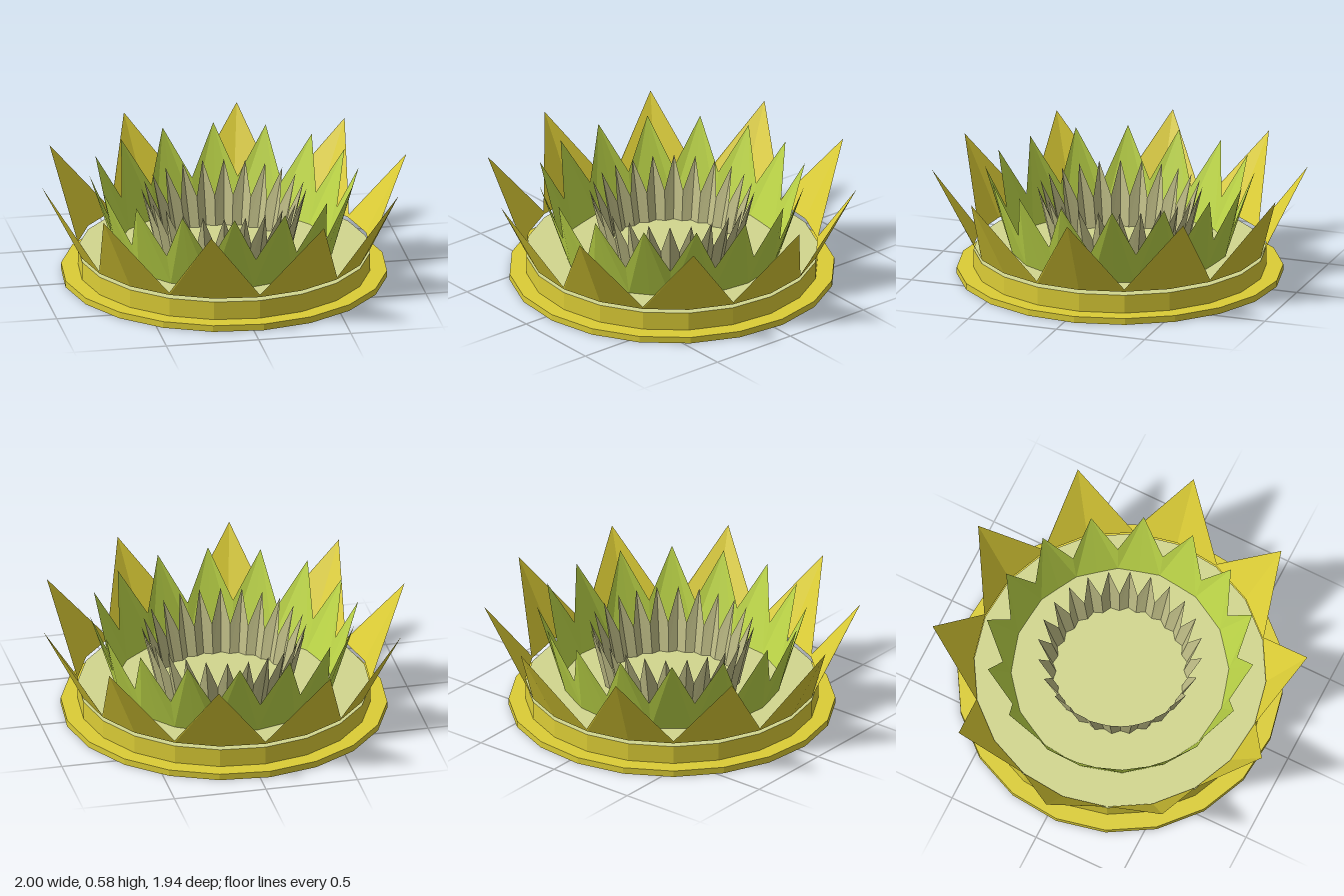
import * as THREE from 'three';

const mat = (name, color, side = THREE.FrontSide) => {
  const m = new THREE.MeshStandardMaterial({ color, side, flatShading: true });
  m.name = name;
  return m;
};

const PHASE = -3.5; // degrees, shared by the base and the outer crown

// Ring of pointed, folded petals. Each level is [radius, height];
// angles run from +x towards +z.
function crown(name, count, phase, { foot, footValley, valley, tip }, material) {
  const at = (k, [r, y]) => {
    const a = THREE.MathUtils.degToRad(phase) + (k * Math.PI) / count;
    return [r * Math.cos(a), y, r * Math.sin(a)];
  };
  const pos = [];
  for (let i = 0; i < count; i++) {
    const k = 2 * i;
    const F = at(k, foot), T = at(k, tip);
    const L = at(k - 1, footValley), LV = at(k - 1, valley);
    const R = at(k + 1, footValley), RV = at(k + 1, valley);
    pos.push(...L, ...T, ...F, ...L, ...LV, ...T); // first half of the petal
    pos.push(...F, ...T, ...R, ...R, ...T, ...RV); // mirrored half
  }
  const g = new THREE.BufferGeometry();
  g.setAttribute('position', new THREE.Float32BufferAttribute(pos, 3));
  g.computeVertexNormals();
  const mesh = new THREE.Mesh(g, material);
  mesh.name = name;
  return mesh;
}

// Twenty-sided disc standing between two heights
function drum(name, radius, y0, y1, materials) {
  const mesh = new THREE.Mesh(new THREE.CylinderGeometry(radius, radius, y1 - y0, 20), materials);
  mesh.position.y = (y0 + y1) / 2;
  mesh.rotation.y = THREE.MathUtils.degToRad(-PHASE);
  mesh.name = name;
  return mesh;
}

export function createModel() {
  const gold = mat('gold', 0xdccd36);
  const goldPetal = mat('goldPetal', 0xdccd36, THREE.DoubleSide);
  const green = mat('leafGreen', 0xbdd648, THREE.DoubleSide);
  const stone = mat('paleStone', 0xbfbd86, THREE.DoubleSide);
  const cream = mat('paleCream', 0xd2d68e);

  const model = new THREE.Group();
  model.name = 'petalCrown';

  // Stepped base with a pale top
  model.add(drum('baseFlange', 0.87, 0, 0.035, gold));
  model.add(drum('baseBody', 0.78, 0.035, 0.135, [gold, cream, gold]));

  // Three rings of petals, the outer one floating just above the base
  model.add(crown('outerPetals', 10, PHASE, {
    foot: [0.78, 0.155], footValley: [0.78, 0.155], valley: [0.785, 0.17], tip: [1.002, 0.585],
  }, goldPetal));
  model.add(crown('middlePetals', 16, 6.1, {
    foot: [0.57, 0.137], footValley: [0.58, 0.137], valley: [0.625, 0.31], tip: [0.72, 0.58],
  }, green));
  model.add(crown('innerPetals', 24, -4.5, {
    foot: [0.36, 0.137], footValley: [0.34, 0.137], valley: [0.375, 0.3], tip: [0.44, 0.48],
  }, stone));

  return model;
}
